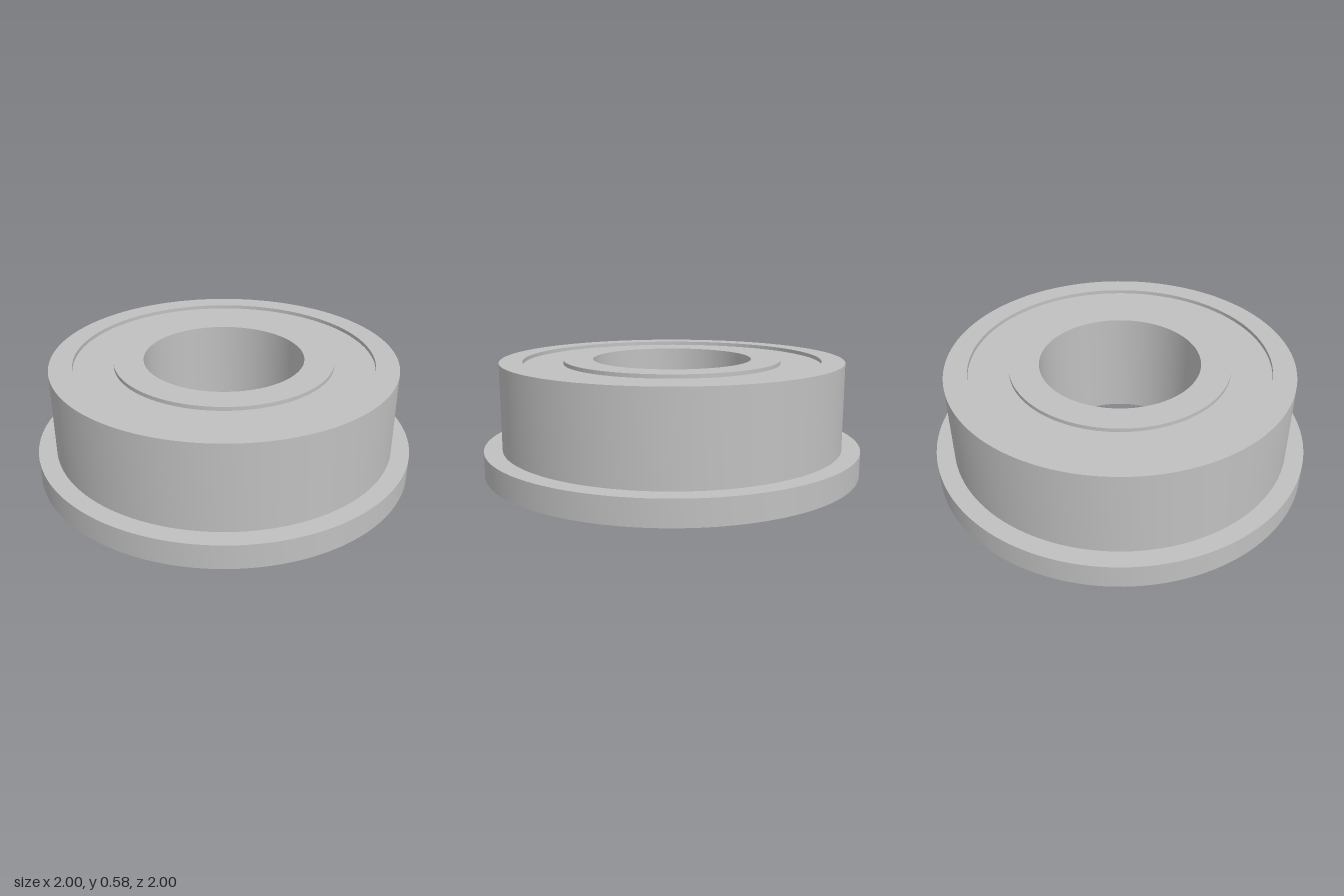
import * as THREE from 'three';
import { toCreasedNormals } from 'three/addons/utils/BufferGeometryUtils.js';

const HEIGHT = 0.585, FLANGE = 0.13, RECESS = 0.02;
const BORE = 0.42, INNER = 0.575, LIP = 0.785, BODY = 0.905, RIM = 1;

export function createModel() {
  const group = new THREE.Group();
  group.name = 'flangedBearing';
  const steel = new THREE.MeshStandardMaterial({ color: 0xc0c0c0 });
  steel.name = 'steel';

  // Spins a [radius, y] profile around the vertical axis, keeping corners sharp
  const turned = (name, profile) => {
    const points = profile.map(([r, y]) => new THREE.Vector2(r, y));
    const geometry = toCreasedNormals(new THREE.LatheGeometry(points, 128), Math.PI / 6);
    const mesh = new THREE.Mesh(geometry, steel);
    mesh.name = name;
    group.add(mesh);
  };

  // Outer ring with the flange at its base
  turned('outerRing', [
    [LIP, RECESS], [LIP, 0], [RIM, 0], [RIM, FLANGE], [BODY, FLANGE],
    [BODY, HEIGHT], [LIP, HEIGHT], [LIP, HEIGHT - RECESS],
  ]);

  // Recessed shields between the rings
  turned('topShield', [[LIP, HEIGHT - RECESS], [INNER, HEIGHT - RECESS]]);
  turned('bottomShield', [[INNER, RECESS], [LIP, RECESS]]);

  // Inner ring with the shaft bore
  turned('innerRing', [
    [INNER, HEIGHT - RECESS], [INNER, HEIGHT], [BORE, HEIGHT],
    [BORE, 0], [INNER, 0], [INNER, RECESS],
  ]);

  return group;
}
